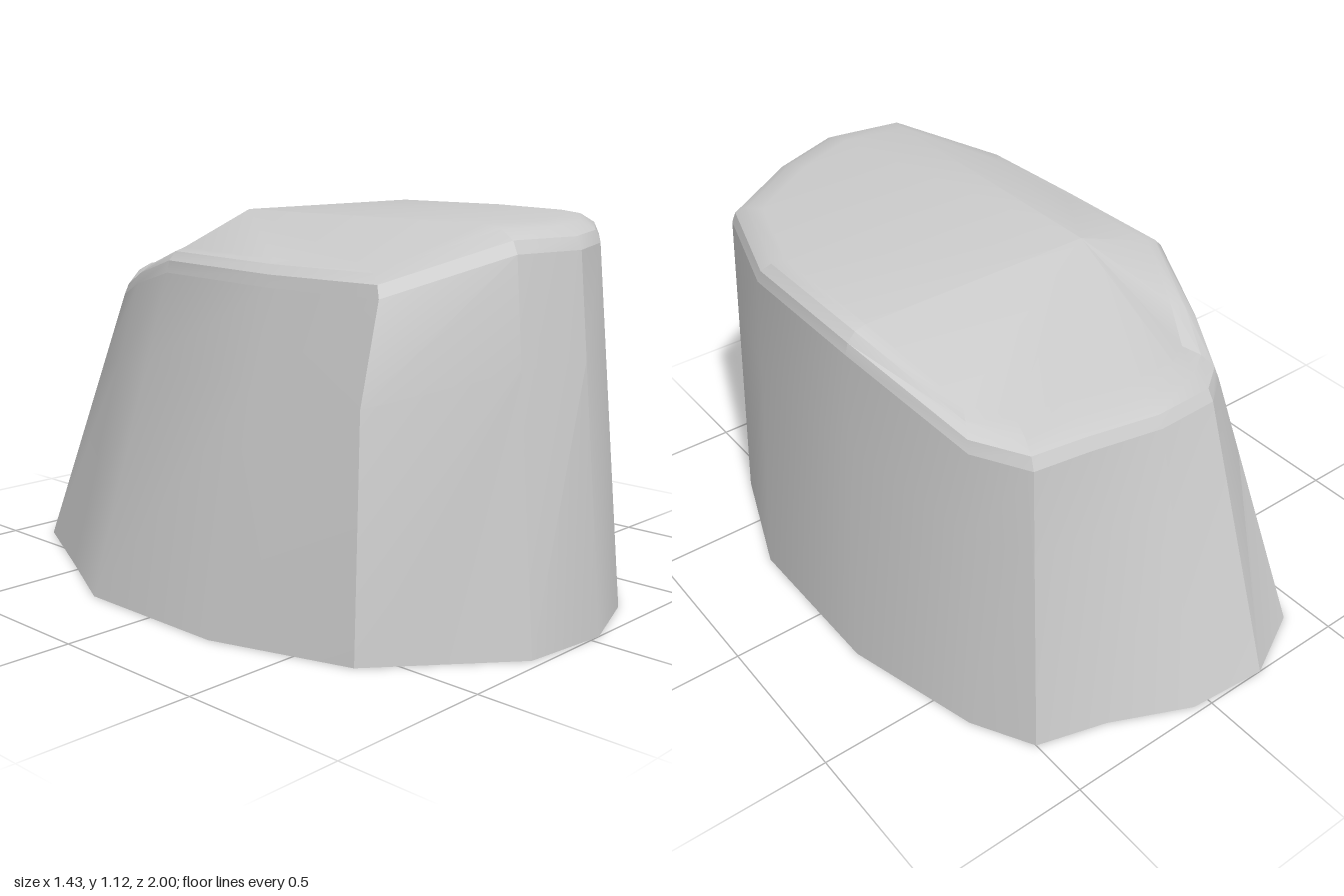
import * as THREE from 'three';
import { toCreasedNormals } from 'three/addons/utils/BufferGeometryUtils.js';

// Outline stations, counterclockwise from the front: rim x, y, z, then base x, z
const stations = [
  [0.04, 1.05, 0.90, 0.04, 1.00],
  [0.27, 1.05, 0.81, 0.28, 0.91],
  [0.54, 1.05, 0.63, 0.57, 0.69],
  [0.65, 1.05, 0.28, 0.71, 0.31],
  [0.65, 1.05, -0.18, 0.71, -0.21],
  [0.55, 0.925, -0.58, 0.60, -0.63],
  [0.46, 0.92, -0.73, 0.50, -0.81],
  [0.28, 0.90, -0.735, 0.29, -0.87],
  [0.04, 0.87, -0.75, 0.05, -0.98],
  [-0.16, 0.86, -0.735, -0.20, -1.00],
  [-0.28, 0.83, -0.64, -0.42, -0.89],
  [-0.36, 0.885, -0.47, -0.57, -0.57],
  [-0.48, 0.95, -0.18, -0.72, -0.26],
  [-0.48, 0.94, 0.25, -0.72, 0.25],
  [-0.46, 0.94, 0.63, -0.59, 0.67],
  [-0.19, 1.05, 0.86, -0.23, 0.97],
];

// Skin stacked rings, optionally closing the last one with a fan to an apex
function loft(rings, apex) {
  const pos = [];
  const tri = (...pts) => pts.forEach((p) => pos.push(...p));
  const n = rings[0].length;
  for (let r = 0; r < rings.length - 1; r++) {
    for (let i = 0; i < n; i++) {
      const j = (i + 1) % n;
      const [lo, hi] = [rings[r], rings[r + 1]];
      tri(lo[i], lo[j], hi[j]);
      tri(lo[i], hi[j], hi[i]);
    }
  }
  if (apex) {
    const last = rings[rings.length - 1];
    for (let i = 0; i < n; i++) tri(last[i], last[(i + 1) % n], apex);
  }
  const g = new THREE.BufferGeometry();
  g.setAttribute('position', new THREE.Float32BufferAttribute(pos, 3));
  return toCreasedNormals(g, 0.5);
}

// Ring of the rounded edge: t = 0 at the rim, t = 1 on the top surface
function bevelRing(t) {
  const a = (t * Math.PI) / 2;
  const inset = 1 - Math.cos(a);
  const rise = 0.07 * Math.sin(a);
  return stations.map(([x, y, z]) => {
    const shrink = z > -0.18 ? 0.125 : 0.24;
    return [
      x - (x - 0.09) * 0.12 * inset,
      y + rise,
      z - (z + 0.18) * shrink * inset,
    ];
  });
}

export function createModel() {
  const group = new THREE.Group();
  const material = new THREE.MeshStandardMaterial({ color: 0xcccccc, side: THREE.DoubleSide });
  const add = (name, geometry) => {
    const mesh = new THREE.Mesh(geometry, material);
    mesh.name = name;
    group.add(mesh);
  };

  // Tapered side wall, open underneath, bulging at the front corner on -x
  const rim = bevelRing(0);
  const base = stations.map(([, , , bx, bz]) => [bx, 0, bz]);
  const middle = rim.map((p, i) => p.map((v, k) => v + (base[i][k] - v) * 0.28));
  middle[14] = [-0.55, 0.67, 0.65];
  add('sideWall', loft([base, middle, rim]));

  // Rounded edge and faceted top, sloping to the back and to -x from one peak
  const rings = [0, 1 / 3, 2 / 3, 1].map(bevelRing);
  add('top', loft(rings, [-0.15, 1.12, -0.18]));

  return group;
}
